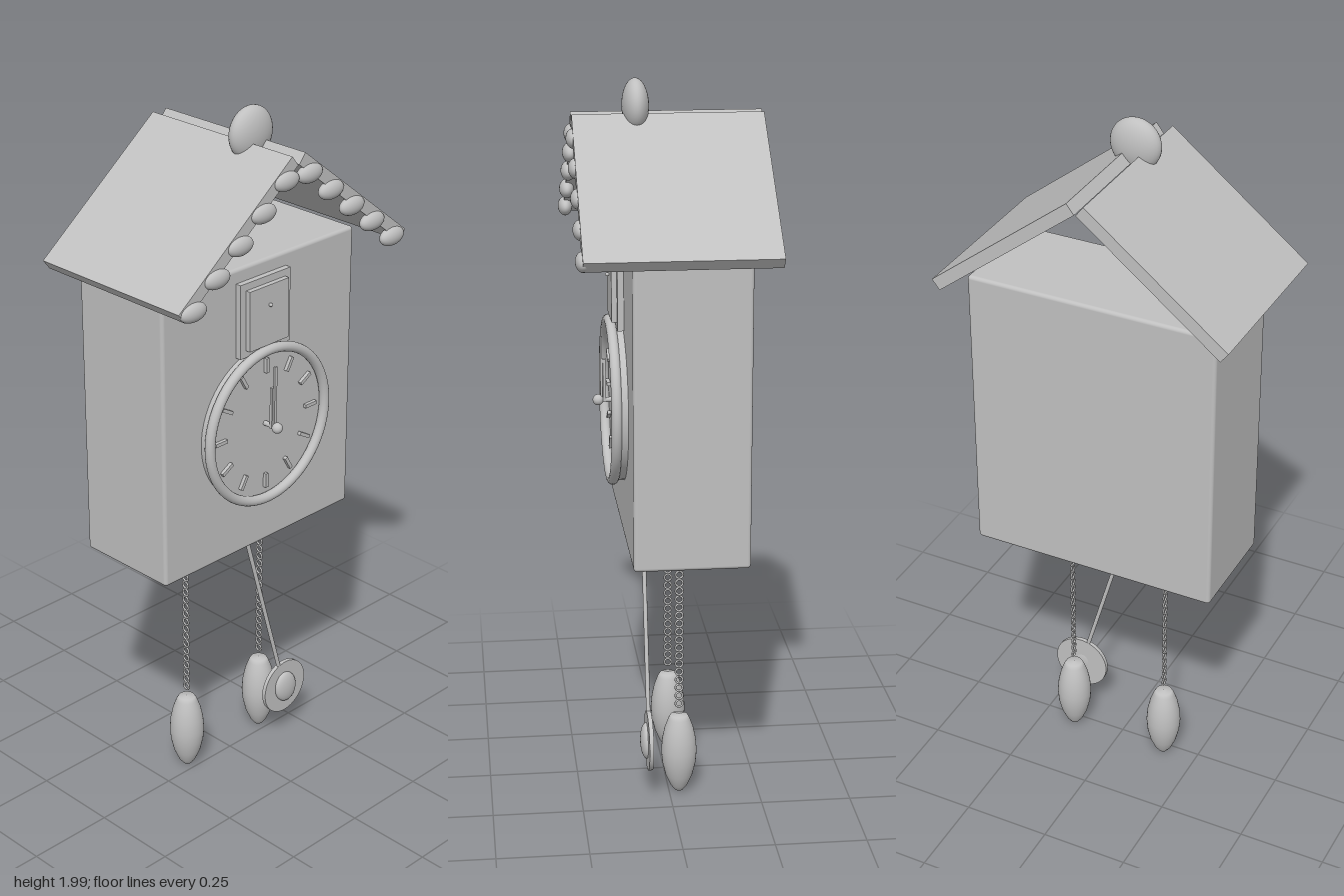
import * as THREE from 'three';
import { RoundedBoxGeometry } from 'three/addons/geometries/RoundedBoxGeometry.js';

export function createModel() {
  const clock = new THREE.Group();
  clock.name = 'wallClock';
  const grey = new THREE.MeshStandardMaterial({ color: 0xc0c0c0 });
  grey.name = 'plain grey';

  const add = (name, geometry, x, y, z, parent = clock) => {
    const mesh = new THREE.Mesh(geometry, grey);
    mesh.name = name;
    mesh.position.set(x, y, z);
    parent.add(mesh);
    return mesh;
  };
  const box = (w, h, d) => new THREE.BoxGeometry(w, h, d);
  const ellipsoid = (rx, ry, rz) => new THREE.SphereGeometry(1, 32, 20).scale(rx, ry, rz);
  const disc = (r, depth) => new THREE.CylinderGeometry(r, r, depth, 64).rotateX(Math.PI / 2);

  // Case with softly rounded edges
  add('case', new RoundedBoxGeometry(0.714, 0.84, 0.312, 3, 0.01), 0, 1.17, -0.04);

  // Two roof slabs with an open notch along the ridge
  const pitch = 0.665;
  for (const side of [-1, 1]) {
    const slab = add('roofSlab', box(0.504, 0.035, 0.51), side * 0.211, 1.741, -0.01);
    slab.rotation.z = -side * pitch;
    // Row of scallops along the front edge
    for (let i = 0; i < 5; i++) {
      add('scallop', ellipsoid(0.044, 0.026, 0.02), side * (0.043 + i * 0.0815), 1.85 - i * 0.0645, 0.242);
    }
  }
  add('finial', ellipsoid(0.072, 0.072, 0.036), 0, 1.928, 0.075);

  // Small bird door
  add('doorFrame', box(0.186, 0.21, 0.022), 0, 1.445, 0.122);
  add('door', box(0.146, 0.17, 0.035), 0, 1.445, 0.13);
  add('doorKnob', ellipsoid(0.005, 0.005, 0.006), 0, 1.475, 0.152);

  // Dial, ring and hour marks
  const dial = new THREE.Group();
  dial.name = 'dial';
  dial.position.set(0, 1.125, 0);
  clock.add(dial);
  add('face', disc(0.222, 0.024), 0, 0, 0.122, dial);
  add('ring', new THREE.TorusGeometry(0.22, 0.014, 16, 72), 0, 0, 0.147, dial);
  for (let i = 0; i < 12; i++) {
    const a = (i * Math.PI) / 6;
    const mark = add('hourMark', box(0.01, 0.042, 0.012), Math.sin(a) * 0.172, Math.cos(a) * 0.172, 0.138, dial);
    mark.rotation.z = -a;
  }

  // Hands and centre pin
  add('hourHand', box(0.016, 0.12, 0.008), 0, 0.055, 0.163, dial);
  add('minuteHand', box(0.009, 0.18, 0.006), 0, 0.088, 0.171, dial);
  add('pinShaft', disc(0.007, 0.05), 0, 0, 0.155, dial);
  add('pin', ellipsoid(0.015, 0.015, 0.015), 0, 0, 0.18, dial);

  // Chains of links with a pine-cone shaped weight on each
  const weightProfile = [
    [0, 0.01], [0.012, 0.014], [0.024, 0.03], [0.038, 0.062], [0.047, 0.1], [0.05, 0.135],
    [0.047, 0.172], [0.04, 0.205], [0.03, 0.232], [0.024, 0.243], [0, 0.246],
  ].map(([r, y]) => new THREE.Vector2(r, y));
  for (const side of [-1, 1]) {
    const x = side * 0.148;
    for (let i = 0; i < 20; i++) {
      const link = add('chainLink', new THREE.TorusGeometry(0.01, 0.003, 8, 16), x, 0.277 + i * 0.024, -0.028);
      link.rotation.y = Math.PI / 2;
    }
    add('weight', new THREE.LatheGeometry(weightProfile, 32), x, 0, -0.028);
  }

  // Pendulum caught mid-swing
  const pendulum = new THREE.Group();
  pendulum.name = 'pendulum';
  pendulum.position.set(0, 0.76, 0.058);
  pendulum.rotation.z = 0.276;
  clock.add(pendulum);
  add('rod', new THREE.CylinderGeometry(0.006, 0.006, 0.6, 12), 0, -0.28, 0, pendulum);
  add('bob', disc(0.083, 0.012), 0, -0.607, 0, pendulum);
  add('boss', ellipsoid(0.04, 0.05, 0.017), 0, -0.607, 0.008, pendulum);

  return clock;
}
